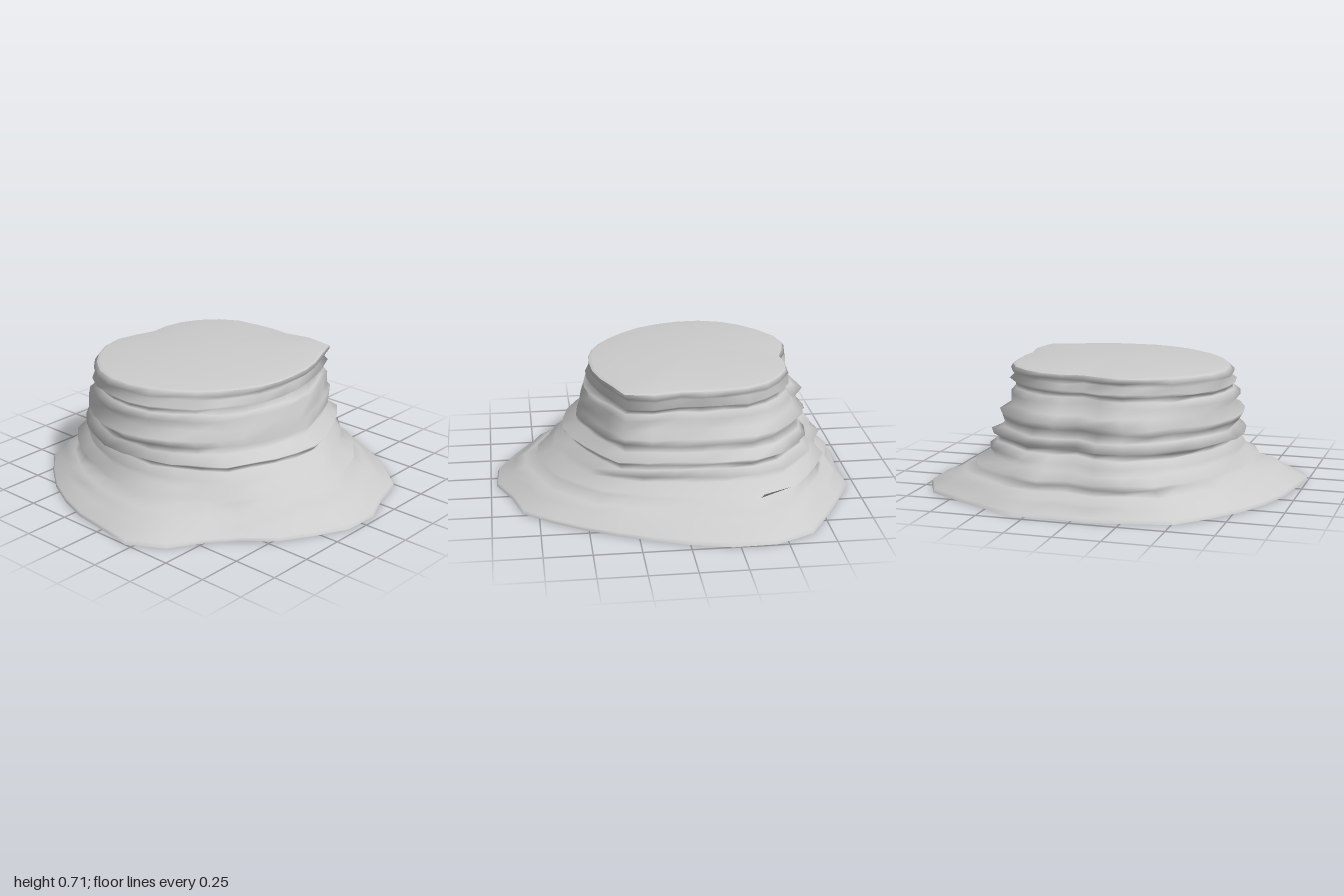
import * as THREE from 'three';
import { mergeVertices } from 'three/addons/utils/BufferGeometryUtils.js';

const SEG = 30;

// Plan outlines [x, z] at the foot, the waist and the top
const FOOT = [[1, -.26], [.95, -.02], [.83, .26], [.73, .48], [.62, .65], [.5, .82], [.3, .87], [.1, .96],
  [-.1, .95], [-.28, .86], [-.46, .75], [-.6, .56], [-.75, .47], [-.92, .36], [-1, .16], [-.95, 0],
  [-.91, -.24], [-.84, -.42], [-.75, -.59], [-.62, -.75], [-.49, -.89], [-.3, -.93], [-.1, -.97],
  [.09, -.95], [.3, -.97], [.48, -.88], [.66, -.78], [.87, -.67], [.98, -.49]];
const WAIST = [[.67, -.25], [.66, -.05], [.64, .15], [.59, .34], [.45, .45], [.27, .53], [.07, .61],
  [-.1, .58], [-.28, .53], [-.48, .44], [-.6, .28], [-.7, .06], [-.7, -.2], [-.63, -.4], [-.5, -.6],
  [-.36, -.74], [-.22, -.8], [-.08, -.82], [.08, -.71], [.22, -.75], [.42, -.7], [.5, -.61], [.65, -.48]];
const TOP = [[.55, -.2], [.55, 0], [.58, .13], [.57, .28], [.42, .34], [.27, .4], [.07, .43], [-.12, .42],
  [-.27, .36], [-.42, .25], [-.55, .1], [-.62, -.08], [-.64, -.2], [-.61, -.35], [-.55, -.45],
  [-.45, -.55], [-.33, -.63], [-.2, -.67], [-.05, -.64], [.07, -.6], [.18, -.62], [.33, -.58],
  [.44, -.5], [.52, -.4]];

// Strata: [height, left reach, right reach, front reach, back reach]
const STRATA = [
  [0, 1, 1, .97, .97], [.02, .99, .99, .96, .96], [.055, .9, .9, .88, .91], [.085, .86, .86, .87, .92],
  [.105, .81, .81, .81, .86], [.135, .73, .72, .74, .85], [.165, .75, .74, .74, .88],
  [.2, .67, .64, .66, .82], [.24, .68, .66, .65, .83], [.275, .64, .63, .57, .78],
  [.295, .64, .62, .58, .74], [.32, .7, .65, .6, .8], [.355, .64, .59, .51, .76],
  [.395, .66, .6, .52, .72], [.435, .69, .61, .5, .77], [.475, .62, .56, .5, .71],
  [.53, .67, .57, .47, .69], [.56, .63, .55, .47, .67], [.58, .62, .54, .42, .66],
  [.6, .65, .58, .46, .69], [.63, .61, .55, .42, .65], [.655, .65, .59, .44, .68],
  [.68, .62, .58, .44, .67]];

let seed = 7;
const jitter = (a) => {
  seed = (seed * 16807) % 2147483647;
  return (seed / 2147483647 - 0.5) * 2 * a;
};

// Resample an outline at even angles about (0, cz)
function resample(points, cz) {
  const polar = points.map(([x, z]) => ({
    a: (Math.atan2(z - cz, x) + Math.PI * 2) % (Math.PI * 2), r: Math.hypot(x, z - cz),
  })).sort((p, q) => p.a - q.a);
  const last = polar[polar.length - 1];
  const loop = [{ a: last.a - Math.PI * 2, r: last.r }, ...polar, { a: polar[0].a + Math.PI * 2, r: polar[0].r }];
  return Array.from({ length: SEG }, (_, j) => {
    const a = (j / SEG) * Math.PI * 2;
    const k = loop.findIndex((p) => p.a > a);
    const p = loop[k - 1], q = loop[k];
    const r = THREE.MathUtils.lerp(p.r, q.r, (a - p.a) / (q.a - p.a));
    return [r * Math.cos(a), cz + r * Math.sin(a)];
  });
}

const blend = (A, B, t) => A.map(([x, z], j) => [x + (B[j][0] - x) * t, z + (B[j][1] - z) * t]);

// Build a smooth skin through closed loops of [x, y, z]
function skin(rings) {
  const index = [];
  for (let i = 0; i < rings.length - 1; i++) {
    for (let j = 0; j < SEG; j++) {
      const a = i * SEG + j, b = i * SEG + (j + 1) % SEG;
      index.push(a, a + SEG, b, b, a + SEG, b + SEG);
    }
  }
  const geometry = new THREE.BufferGeometry();
  geometry.setAttribute('position', new THREE.Float32BufferAttribute(rings.flat(2), 3));
  geometry.setIndex(index);
  const merged = mergeVertices(geometry);
  merged.computeVertexNormals();
  return merged;
}

export function createModel() {
  const stone = new THREE.MeshStandardMaterial({ color: 0xcccccc, side: THREE.DoubleSide });
  stone.name = 'paleStone';

  const foot = resample(FOOT, 0), waist = resample(WAIST, -.1), top = resample(TOP, -.12);

  // Each stratum blends the outlines and is stretched to its reach on four sides
  const rings = STRATA.map(([y, left, right, front, back], i) => {
    const plan = y < .25 ? blend(foot, waist, y / .25) : blend(waist, top, (y - .25) / .43);
    const xs = plan.map((p) => p[0]), zs = plan.map((p) => p[1]);
    const sx = [left / -Math.min(...xs), right / Math.max(...xs)];
    const sz = [back / -Math.min(...zs), front / Math.max(...zs)];
    const rough = i > 1 && i < STRATA.length - 1 ? 1 : 0;
    return plan.map(([x, z]) => {
      const k = 1 + rough * jitter(.012);
      return [x * sx[x > 0 ? 1 : 0] * k, y + rough * jitter(.006), z * sz[z > 0 ? 1 : 0] * k];
    });
  });

  // Gently domed cap, shrinking to its centre
  const rim = rings[rings.length - 1];
  const cap = [1, .97, .7, .35, 0].map((s) => rim.map(([x, , z]) =>
    [x * s, s === 1 ? .68 : .715 - .028 * s * s, -.12 + (z + .12) * s]));

  const group = new THREE.Group();
  group.name = 'rockMesa';
  const cliff = new THREE.Mesh(skin(rings), stone);
  cliff.name = 'layeredCliff';
  const plateau = new THREE.Mesh(skin(cap), stone);
  plateau.name = 'plateau';
  group.add(cliff, plateau);
  return group;
}
